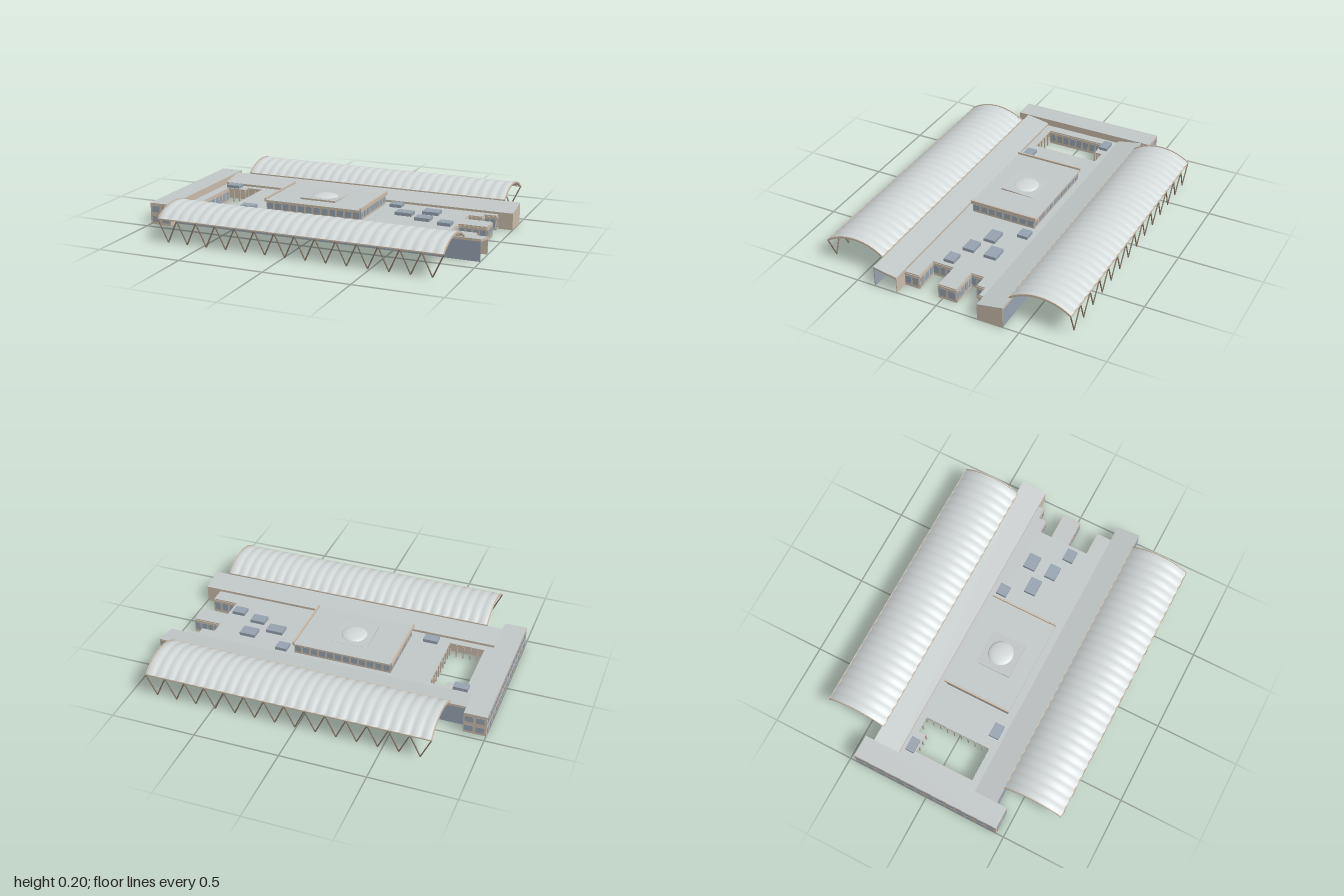
import * as THREE from 'three';

export function createModel() {
  const model = new THREE.Group();
  const mat = (name, color, side = THREE.FrontSide) => {
    const m = new THREE.MeshStandardMaterial({ color, side });
    m.name = name;
    return m;
  };
  const beige = mat('beige wall', 0xcbbdac);
  const roof = mat('grey roof', 0xc3c8c8);
  const shell = mat('pale canopy', 0xd3d8d8, THREE.DoubleSide);
  const glass = mat('blue grey glass', 0x97a4b0);
  const frame = mat('brown steel', 0x8c7d6c);

  const add = (parent, name, geo, material) => {
    const m = new THREE.Mesh(geo, material);
    m.name = name;
    parent.add(m);
    return m;
  };
  // Box given by its minimum and maximum corners
  const box = (parent, name, x0, x1, y0, y1, z0, z1, material) => {
    const m = add(parent, name, new THREE.BoxGeometry(x1 - x0, y1 - y0, z1 - z0), material);
    m.position.set((x0 + x1) / 2, (y0 + y1) / 2, (z0 + z1) / 2);
    return m;
  };
  // Row of thin panes along a line between two plan points
  const panes = (parent, a, b, y0, y1, n, thick) => {
    const len = Math.hypot(b[0] - a[0], b[1] - a[1]);
    const row = new THREE.Group();
    row.name = 'windowRow';
    row.position.set(a[0], 0, a[1]);
    row.rotation.y = Math.atan2(a[1] - b[1], b[0] - a[0]);
    for (let i = 0; i < n; i++) {
      const p = len / n;
      box(row, 'window', p * (i + 0.13), p * (i + 0.87), y0, y1, -thick / 2, thick / 2, glass);
    }
    parent.add(row);
    return row;
  };
  const glazedWall = (parent, a, b) => {
    const len = Math.hypot(b[0] - a[0], b[1] - a[1]);
    const row = panes(parent, a, b, 0.018, 0.066, Math.max(1, Math.round(len / 0.045)), 0.012);
    box(row, 'wall', 0, len, 0, 0.08, -0.004, 0.004, beige);
  };

  // End block with two storeys of windows
  const block = new THREE.Group();
  block.name = 'endBlock';
  model.add(block);
  box(block, 'blockWalls', -1, -0.867, 0, 0.129, -0.46, 0.453,
    [beige, beige, roof, beige, beige, beige]);
  for (const [y0, y1] of [[0.015, 0.05], [0.075, 0.112]]) {
    panes(block, [-1, -0.45], [-1, 0.443], y0, y1, 14, 0.004);
    panes(block, [-0.995, 0.453], [-0.867, 0.453], y0, y1, 2, 0.004);
    panes(block, [-0.995, -0.46], [-0.867, -0.46], y0, y1, 2, 0.004);
  }

  // Low central roof with a stepped end and a courtyard opening
  const endLine = [[0.91, -0.25], [0.91, -0.215], [0.84, -0.215], [0.84, -0.165], [0.76, -0.165],
    [0.76, -0.085], [0.925, -0.085], [0.925, 0.025], [0.76, 0.025], [0.76, 0.155], [0.91, 0.155],
    [0.91, 0.245]];
  const court = [[-0.81, -0.165], [-0.695, -0.165], [-0.695, -0.21], [-0.6, -0.21], [-0.6, 0.2],
    [-0.81, 0.2]];
  const toVectors = pts => pts.map(p => new THREE.Vector2(...p));
  const plan = new THREE.Shape(toVectors([[-0.867, -0.25], ...endLine, [-0.867, 0.245]]));
  plan.holes.push(new THREE.Path(toVectors(court)));
  const roofGeo = new THREE.ExtrudeGeometry(plan, { depth: 0.008, bevelEnabled: false });
  roofGeo.rotateX(Math.PI / 2).translate(0, 0.087, 0);
  add(model, 'centralRoof', roofGeo, [roof, beige]);
  for (let i = 0; i < endLine.length - 1; i++) glazedWall(model, endLine[i], endLine[i + 1]);

  // Courtyard: glazed along the end block, open posts on the other sides
  court.forEach((a, i) => {
    const b = court[(i + 1) % court.length];
    if (i === 5) return glazedWall(model, a, b);
    const n = Math.max(1, Math.round(Math.hypot(b[0] - a[0], b[1] - a[1]) / 0.045));
    for (let k = 0; k < n; k++) {
      const x = a[0] + (b[0] - a[0]) * k / n, z = a[1] + (b[1] - a[1]) * k / n;
      box(model, 'courtyardPost', x - 0.004, x + 0.004, 0, 0.08, z - 0.004, z + 0.004, beige);
    }
  });

  // Long side wings: glazed outside, sloping roof falling inwards
  const wing = (name, inner, outer, closedEnd) => {
    const g = new THREE.Group();
    g.name = name;
    model.add(g);
    const s = Math.sign(outer);
    const wall = (part, z, h, material) =>
      box(g, part, -0.867, 0.998, 0, h, z - 0.002, z + 0.002, material);
    wall('outerGlassWall', outer - s * 0.003, 0.114, glass);
    wall('innerWall', inner + s * 0.003, 0.087, beige);
    const geo = new THREE.BoxGeometry(1.867, 0.014, Math.abs(outer - inner));
    const p = geo.attributes.position;
    for (let i = 0; i < p.count; i++) p.setY(i, p.getY(i) + p.getZ(i) * s * 0.18);
    geo.computeVertexNormals();
    add(g, 'wingRoof', geo, [beige, beige, roof, roof, beige, beige])
      .position.set(0.0665, 0.107, (inner + outer) / 2);
    if (closedEnd) {
      const end = new THREE.Shape(toVectors([[-inner, 0], [-outer, 0], [-outer, 0.114], [-inner, 0.087]]));
      const endGeo = new THREE.ExtrudeGeometry(end, { depth: 0.004, bevelEnabled: false });
      add(g, 'endWall', endGeo.rotateY(Math.PI / 2).translate(0.996, 0, 0), beige);
    }
  };
  wing('frontWing', 0.245, 0.39, false);
  wing('backWing', -0.25, -0.405, true);

  // Raised hall with clerestory windows
  const hall = new THREE.Group();
  hall.name = 'raisedHall';
  model.add(hall);
  const [hx0, hx1, hz0, hz1] = [-0.365, 0.228, -0.203, 0.198];
  box(hall, 'hallWalls', hx0, hx1, 0.085, 0.142, hz0, hz1, beige);
  for (const z of [hz0, hz1]) panes(hall, [hx0, z], [hx1, z], 0.1, 0.136, 12, 0.004);
  for (const x of [hx0, hx1]) panes(hall, [x, hz0], [x, hz1], 0.1, 0.136, 8, 0.004);
  box(hall, 'hallRoof', -0.375, 0.236, 0.142, 0.152, -0.212, 0.207,
    [beige, beige, roof, beige, beige, beige]);
  for (const x of [-0.375, 0.226])
    box(hall, 'parapet', x, x + 0.01, 0.15, 0.164, -0.212, 0.207, beige);

  // Tilted plinth and shallow dome
  const plinth = new THREE.BoxGeometry(0.22, 0.01, 0.215);
  const pp = plinth.attributes.position;
  for (let i = 0; i < pp.count; i++) if (pp.getY(i) > 0 && pp.getZ(i) < 0) pp.setY(i, -0.0045);
  plinth.computeVertexNormals();
  add(hall, 'domePlinth', plinth, [beige, beige, roof, roof, beige, beige])
    .position.set(-0.075, 0.157, 0.003);
  const dome = add(hall, 'dome',
    new THREE.SphereGeometry(0.08, 28, 8, 0, Math.PI * 2, 0, Math.PI / 2), shell);
  dome.scale.y = 0.25;
  dome.position.set(-0.072, 0.151, 0.004);

  // Rooflights: centre x, z, width, depth
  for (const [x, z, w, d] of [[-0.782, -0.2, 0.085, 0.053], [-0.488, 0.19, 0.086, 0.06],
    [0.31, -0.183, 0.07, 0.064], [0.413, -0.036, 0.102, 0.07], [0.553, -0.113, 0.096, 0.075],
    [0.55, 0.027, 0.09, 0.068], [0.695, 0.072, 0.078, 0.064]])
    box(model, 'rooflight', x - w / 2, x + w / 2, 0.086, 0.106, z - d / 2, z + d / 2, glass);

  // Corrugated vaulted canopies on V struts
  const X0 = -0.775, X1 = 0.91, RIBS = 28, BAYS = 14;
  const R = 0.3, HALF = Math.asin(0.18 / R);
  const canopy = (name, zc, s) => {
    const g = new THREE.Group();
    g.name = name;
    g.position.z = zc;
    model.add(g);
    const geo = new THREE.PlaneGeometry(1, 1, RIBS * 6, 24);
    const p = geo.attributes.position;
    for (let i = 0; i < p.count; i++) {
      const u = p.getX(i) + 0.5, a = -p.getY(i) * 2 * HALF;
      const r = R - 0.005 + 0.005 * Math.abs(Math.sin(u * RIBS * Math.PI));
      p.setXYZ(i, X0 + u * (X1 - X0), -0.102 + r * Math.cos(a), r * Math.sin(a));
    }
    geo.computeVertexNormals();
    add(g, 'vault', geo, shell);
    // Arched end ribs
    const arc = new THREE.Shape();
    arc.absarc(0, 0, R + 0.001, Math.PI / 2 - HALF, Math.PI / 2 + HALF, false);
    arc.absarc(0, 0, R - 0.01, Math.PI / 2 + HALF, Math.PI / 2 - HALF, true);
    for (const x of [X0, X1 - 0.006]) {
      const rib = new THREE.ExtrudeGeometry(arc, { depth: 0.006, bevelEnabled: false, curveSegments: 24 });
      add(g, 'endRib', rib.rotateY(Math.PI / 2).translate(x, -0.102, 0), beige);
    }
    // Edge beams and zigzag struts on the outer side
    for (const z of [-0.178, 0.178])
      box(g, 'edgeBeam', X0, X1, 0.131, 0.138, z - 0.004, z + 0.004, beige);
    const step = (X1 - X0) / BAYS;
    for (let i = 0; i < BAYS * 2; i++) {
      const low = i % 2;
      const a = new THREE.Vector3(X0 + i * step / 2, low ? 0.003 : 0.134, s * (low ? 0.172 : 0.178));
      const b = new THREE.Vector3(a.x + step / 2, low ? 0.134 : 0.003, s * (low ? 0.178 : 0.172));
      const strut = add(g, 'strut', new THREE.CylinderGeometry(0.004, 0.004, a.distanceTo(b), 6), frame);
      strut.position.copy(a).lerp(b, 0.5);
      strut.quaternion.setFromUnitVectors(new THREE.Vector3(0, 1, 0), b.sub(a).normalize());
    }
  };
  canopy('frontCanopy', 0.567, 1);
  canopy('backCanopy', -0.575, -1);
  return model;
}
